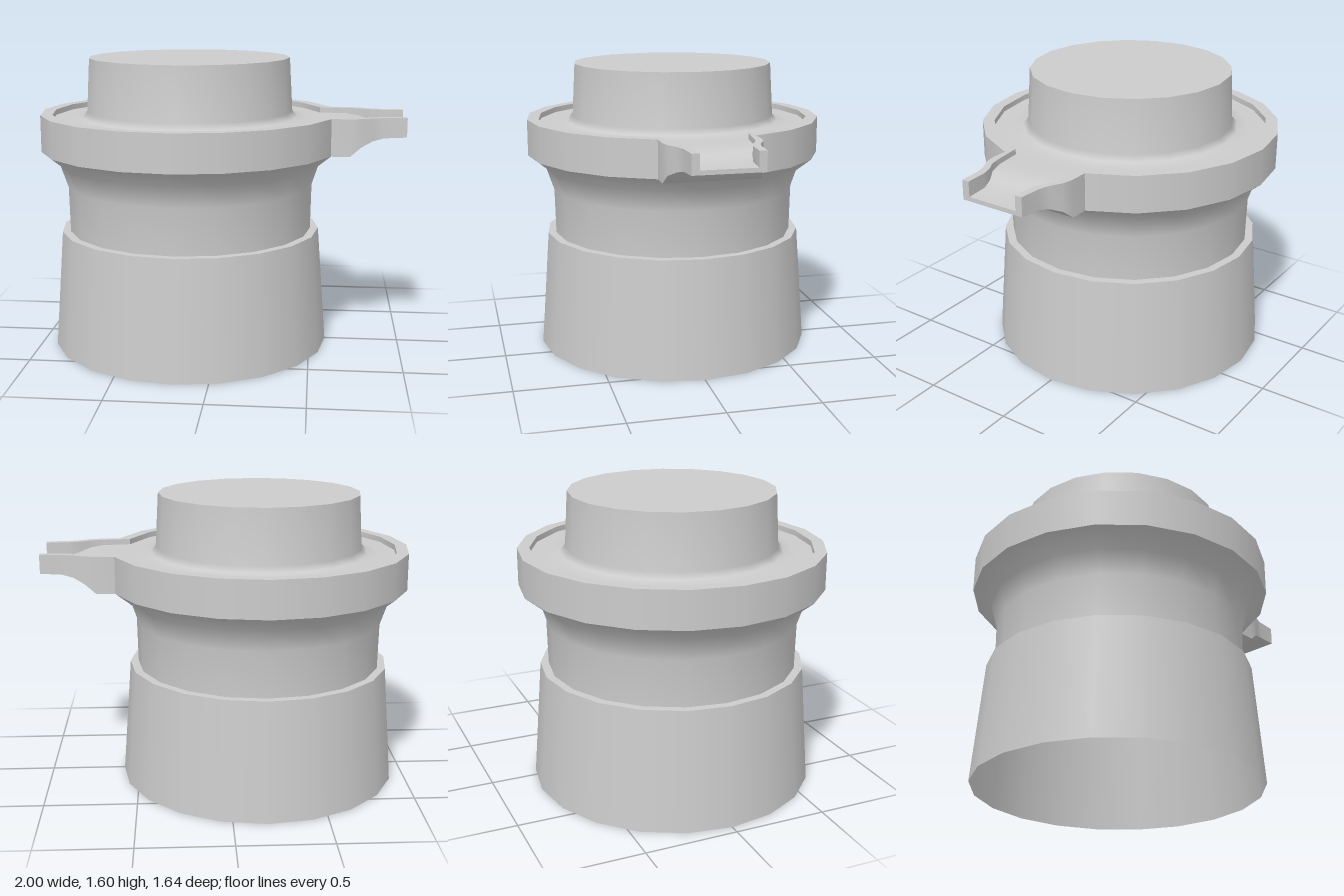
import * as THREE from 'three';

const SIDES = 20;
const AXIS_X = -0.18;

export function createModel() {
  const group = new THREE.Group();
  const material = new THREE.MeshStandardMaterial({ color: 0xcccccc, side: THREE.DoubleSide });

  const add = (name, geometry, parent = group) => {
    const mesh = new THREE.Mesh(geometry, material);
    mesh.name = name;
    parent.add(mesh);
    return mesh;
  };

  // Turned parts share one vertical axis; "open" leaves out the facet facing the spout
  const turned = new THREE.Group();
  turned.name = 'turnedBody';
  turned.position.x = AXIS_X;
  group.add(turned);
  const turn = (name, profile, open = false) => {
    const points = profile.map(([r, y]) => new THREE.Vector2(r, y));
    const step = (Math.PI * 2) / SIDES;
    const geometry = open
      ? new THREE.LatheGeometry(points, SIDES - 2, Math.PI / 2 + step, Math.PI * 2 - 2 * step)
      : new THREE.LatheGeometry(points, SIDES);
    add(name, geometry, turned);
  };

  // Hollow lower body
  turn('skirt', [[0.77, 0], [0.72, 0.65]]);
  turn('skirtLedge', [[0.72, 0.65], [0.675, 0.65]]);
  turn('innerLedge', [[0.65, 0.64], [0.72, 0.64]]);
  turn('neckInside', [[0.65, 1.25], [0.65, 0.64]]);
  turn('neck', [[0.675, 0.65], [0.68, 0.9], [0.72, 1.02], [0.82, 1.1]]);

  // Drip ring around the top
  turn('ringOuterWall', [[0.82, 1.1], [0.82, 1.3]], true);
  turn('ringRim', [[0.82, 1.3], [0.755, 1.3]], true);
  turn('ringInnerWall', [[0.755, 1.3], [0.755, 1.27]], true);

  // Shallow trough floor blending into the raised plug
  turn('troughAndPlug', [[0.755, 1.27], [0.66, 1.27], [0.595, 1.28], [0.567, 1.31], [0.55, 1.6]]);
  turn('plugTop', [[0.55, 1.6], [0, 1.6]]);

  add('spout', spoutGeometry());
  return group;
}

// Channel section swept outward along x, with hard edges between its sides
function spoutGeometry() {
  // outer x, inner x, outer half width, inner half width, underside y, floor y
  const stations = [
    [0.6, 0.538, 0.253, 0.233, 1.1, 1.27],
    [0.7, 0.69, 0.253, 0.215, 1.1, 1.27],
    [0.76, 0.76, 0.24, 0.2, 1.15, 1.26],
    [0.82, 0.82, 0.207, 0.167, 1.178, 1.24],
    [0.88, 0.88, 0.19, 0.15, 1.192, 1.225],
    [1, 1, 0.183, 0.143, 1.197, 1.22],
  ];
  const top = 1.3;
  const sections = stations.map(([xo, xi, zo, zi, under, floor]) => [
    [xo, top, zo], [xi, top, zi], [xi, floor, zi], [xi, floor, -zi],
    [xi, top, -zi], [xo, top, -zo], [xo, under, -zo], [xo, under, zo],
  ]);
  const positions = [];
  const index = [];

  // One smooth strip for each side of the channel
  for (let side = 0; side < 8; side++) {
    const start = positions.length / 3;
    sections.forEach((s) => positions.push(...s[side], ...s[(side + 1) % 8]));
    for (let i = 0; i < sections.length - 1; i++) {
      const a = start + i * 2;
      index.push(a, a + 2, a + 1, a + 1, a + 2, a + 3);
    }
  }

  // End face: two walls and the floor between them
  const start = positions.length / 3;
  sections[sections.length - 1].forEach((p) => positions.push(...p));
  for (const [a, b, c] of [[0, 2, 1], [0, 7, 2], [7, 3, 2], [7, 6, 3], [6, 5, 3], [5, 4, 3]]) {
    index.push(start + a, start + b, start + c);
  }

  const geometry = new THREE.BufferGeometry();
  geometry.setAttribute('position', new THREE.Float32BufferAttribute(positions, 3));
  geometry.setIndex(index);
  geometry.computeVertexNormals();
  return geometry;
}
